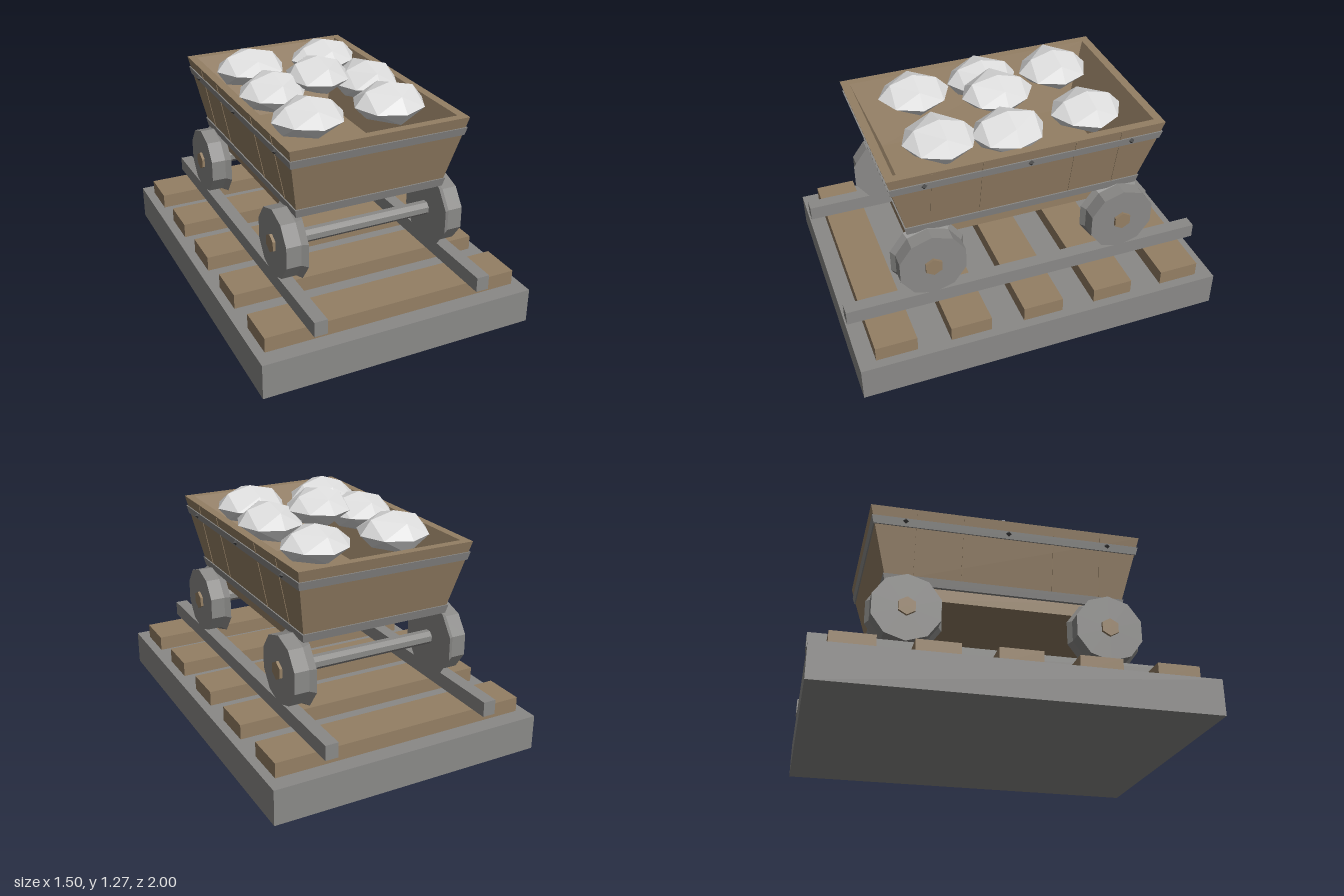
import * as THREE from 'three';

const mat = (name, color) => {
  const m = new THREE.MeshStandardMaterial({ color, flatShading: true });
  m.name = name;
  return m;
};

// Rectangle [halfX, y, halfZ] loops joined into a skin; capped at both ends or closed into a ring
function skin(loops, ring = false) {
  const pos = [];
  const corners = ([x, y, z]) => [[x, y, z], [x, y, -z], [-x, y, -z], [-x, y, z]];
  const quad = (a, b, c, d) => pos.push(...a, ...b, ...c, ...a, ...c, ...d);
  const rects = loops.map(corners);
  const n = rects.length;
  for (let k = 0; k < (ring ? n : n - 1); k++) {
    const a = rects[k], b = rects[(k + 1) % n];
    for (let i = 0; i < 4; i++) {
      const j = (i + 1) % 4;
      quad(a[i], a[j], b[j], b[i]);
    }
  }
  if (!ring) {
    const [p, q] = [rects[0], rects[n - 1]];
    quad(p[3], p[2], p[1], p[0]);
    quad(q[0], q[1], q[2], q[3]);
  }
  const g = new THREE.BufferGeometry();
  g.setAttribute('position', new THREE.Float32BufferAttribute(pos, 3));
  g.computeVertexNormals();
  return g;
}

// Cylinder along x from x0 to x1, with a corner pointing up
function rod(r0, r1, x0, x1, sides) {
  return new THREE.CylinderGeometry(r1, r0, x1 - x0, sides)
    .rotateZ(-Math.PI / 2).rotateX(Math.PI / 2).translate((x0 + x1) / 2, 0, 0);
}

// Flattened, faceted lump with small repeatable irregularities
function lump(rx, ry, rz, seed) {
  const g = new THREE.OctahedronGeometry(1, 1);
  const p = g.attributes.position;
  for (let i = 0; i < p.count; i++) {
    const [x, y, z] = [p.getX(i), p.getY(i), p.getZ(i)].map((v) => Math.round(v * 100) / 100);
    const onAxis = Math.max(Math.abs(x), Math.abs(y), Math.abs(z)) > 0.9;
    const h = Math.sin(x * 12.9 + y * 78.2 + z * 37.7 + seed * 4.1) * 43.7;
    const s = onAxis ? 1 : 0.87 + 0.16 * (h - Math.floor(h));
    p.setXYZ(i, x * s * rx, y * s * ry, z * s * rz);
  }
  g.computeVertexNormals();
  return g;
}

export function createModel() {
  const model = new THREE.Group();
  model.name = 'mineCart';
  const grey = mat('greyMetal', 0x8a8987);
  const wood = mat('wood', 0x947f64);
  const pale = mat('paleRock', 0xdedede);
  const dark = mat('darkBolt', 0x4a4a4a);

  const add = (parent, name, geo, material, x = 0, y = 0, z = 0) => {
    const m = new THREE.Mesh(geo, material);
    m.name = name;
    m.position.set(x, y, z);
    parent.add(m);
    return m;
  };
  const box = (name, w, h, d, material, x, y, z) =>
    add(model, name, new THREE.BoxGeometry(w, h, d), material, x, y, z);

  // Track
  box('base', 1.5, 0.19, 2, grey, 0, 0.095, 0);
  for (let i = -2; i <= 2; i++) box('sleeper', 1.4, 0.08, 0.22, wood, 0, 0.23, i * 0.4);
  for (const s of [-1, 1]) box('rail', 0.07, 0.08, 2, grey, s * 0.45, 0.31, 0);

  // Sloping tub with a hollow inside
  const hx = (y) => 0.405 + (y - 0.71) * 0.2;
  const hz = (y) => 0.63 + (y - 0.71) * 0.2625;
  const at = (y, out = 0) => [hx(y) + out, y, hz(y) + out];
  add(model, 'tub', skin([at(0.71), at(1.11), [0.44, 1.11, 0.69], [0.337, 0.74, 0.565]]), wood);
  box('chassis', 0.77, 0.08, 0.9, wood, 0, 0.68, 0);

  // Metal bands
  for (const [lo, hi] of [[0.705, 0.752], [1.01, 1.053]]) {
    add(model, 'band', skin([at(lo, 0.007), at(hi, 0.007), at(hi, -0.01), at(lo, -0.01)], true), grey);
  }

  // Bolts and plank joints on both long sides
  for (const s of [-1, 1]) {
    for (const z of [-0.55, 0, 0.55]) {
      add(model, 'bolt', new THREE.OctahedronGeometry(0.016), dark, s * (hx(1.035) + 0.01), 1.037, z);
    }
    for (const z of [-0.49, -0.24, 0.25, 0.51]) {
      const joint = box('plankJoint', 0.004, 0.39, 0.005, wood, s * (hx(0.91) + 0.001), 0.91, z);
      joint.rotation.z = -s * Math.atan(0.2);
    }
  }

  // Axles, flanged wheels and hubs
  for (const z of [-0.53, 0.53]) {
    const axle = add(model, 'axle', rod(0.038, 0.038, -0.39, 0.39, 8), grey, 0, 0.535, z);
    axle.rotation.x = Math.PI / 8;
    for (const s of [-1, 1]) {
      const wheel = new THREE.Group();
      wheel.name = 'wheel';
      wheel.position.set(0, 0.535, z);
      wheel.rotation.y = s > 0 ? 0 : Math.PI;
      add(wheel, 'tread', rod(0.185, 0.185, 0.39, 0.495, 10), grey);
      add(wheel, 'flange', rod(0.206, 0.185, 0.385, 0.415, 10), grey);
      add(wheel, 'hub', rod(0.05, 0.05, 0.48, 0.51, 6), wood);
      model.add(wheel);
    }
  }

  // Load: x, y, z, half width, half height, half depth
  const rocks = [
    [-0.225, 1.11, -0.405, 0.195, 0.11, 0.195], [0.225, 1.11, -0.405, 0.195, 0.105, 0.195],
    [-0.255, 1.11, 0, 0.19, 0.11, 0.195], [0, 1.165, 0, 0.175, 0.105, 0.195],
    [0.265, 1.11, 0.045, 0.18, 0.11, 0.195], [-0.235, 1.11, 0.39, 0.195, 0.11, 0.195],
    [0.22, 1.11, 0.39, 0.195, 0.11, 0.195],
  ];
  rocks.forEach(([x, y, z, a, b, c], i) => add(model, 'rock', lump(a, b, c, i + 1), pale, x, y, z));

  return model;
}
